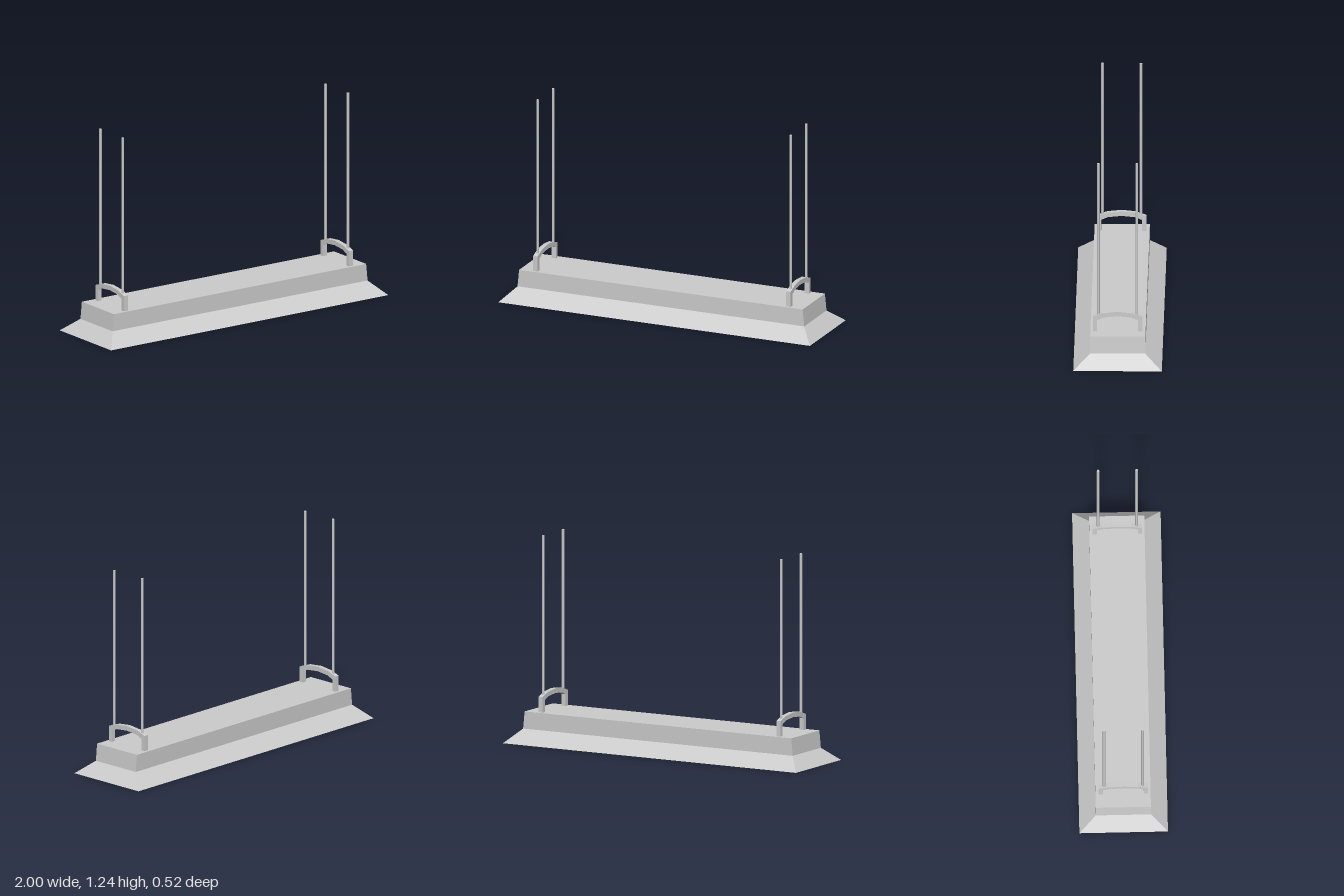
import * as THREE from 'three';

const mat = new THREE.MeshStandardMaterial({ color: 0xcccccc });
const flatMat = new THREE.MeshStandardMaterial({ color: 0xcccccc, flatShading: true });

function mesh(name, geometry, material = flatMat) {
  const m = new THREE.Mesh(geometry, material);
  m.name = name;
  return m;
}

// Skin a list of rectangular rings [halfX, halfZ, y]
function rectLoft(rings) {
  const corners = [[1, 1], [1, -1], [-1, -1], [-1, 1]];
  const pos = [];
  const pt = ([hx, hz, y], i) => {
    const [sx, sz] = corners[i % 4];
    return [sx * hx, y, sz * hz];
  };
  for (let r = 0; r < rings.length - 1; r++) {
    for (let i = 0; i < 4; i++) {
      const a = pt(rings[r], i), b = pt(rings[r], i + 1);
      const c = pt(rings[r + 1], i + 1), d = pt(rings[r + 1], i);
      if (rings[r][0] > 0) pos.push(...a, ...b, ...c);
      if (rings[r + 1][0] > 0) pos.push(...a, ...c, ...d);
    }
  }
  const g = new THREE.BufferGeometry();
  g.setAttribute('position', new THREE.Float32BufferAttribute(pos, 3));
  g.computeVertexNormals();
  return g;
}

// Extrude a (z, y) outline along x, centred on x = 0
function extrudeX(points, width) {
  const shape = new THREE.Shape(points.map(([z, y]) => new THREE.Vector2(z, y)));
  const g = new THREE.ExtrudeGeometry(shape, { depth: width, bevelEnabled: false });
  return g.translate(0, 0, -width / 2).rotateY(Math.PI / 2);
}

export function createModel() {
  const group = new THREE.Group();

  // Hollow housing with flared skirt, from inner ceiling over the rim to the top
  group.add(mesh('housing', rectLoft([
    [0, 0, 0.17], [0.9, 0.15, 0.17], [0.907, 0.15, 0.08], [0.982, 0.243, 0],
    [1, 0.26, 0], [0.92, 0.162, 0.08], [0.91, 0.162, 0.183], [0, 0, 0.183],
  ])));

  // Pair of lamp tubes
  for (const s of [-1, 1]) {
    const tube = mesh('lampTube', new THREE.CylinderGeometry(0.038, 0.038, 1.74, 24).rotateZ(Math.PI / 2), mat);
    tube.position.set(0, 0.1, s * 0.07);
    group.add(tube);
  }

  // Lamp holder with a bowed lower edge
  const holderOutline = [[0.15, 0.168], [-0.15, 0.168]];
  for (let i = 0; i <= 8; i++) {
    const t = -1 + i / 4;
    holderOutline.push([t * 0.15, 0.05 + 0.035 * t * t]);
  }
  const holderGeo = extrudeX(holderOutline, 0.045);

  // Arched bracket: outer edge, then inner edge
  const bracketGeo = extrudeX([
    [-0.145, 0.18], [-0.12, 0.18], [-0.12, 0.253], [-0.08, 0.27], [0, 0.278],
    [0.08, 0.27], [0.12, 0.253], [0.12, 0.18], [0.145, 0.18], [0.145, 0.276],
    [0.085, 0.297], [0, 0.306], [-0.085, 0.297], [-0.145, 0.276],
  ], 0.028);

  const rodGeo = new THREE.CylinderGeometry(0.008, 0.008, 0.96, 8);

  for (const s of [-1, 1]) {
    const holder = mesh('lampHolder', holderGeo);
    holder.position.x = s * 0.877;
    group.add(holder);

    const hanger = new THREE.Group();
    hanger.name = 'hanger';
    hanger.position.set(s * 0.812, 0, 0.002);
    hanger.add(mesh('bracket', bracketGeo));
    for (const z of [-0.113, 0.113]) {
      const rod = mesh('suspensionRod', rodGeo, mat);
      rod.position.set(0, 0.755, z);
      hanger.add(rod);
    }
    group.add(hanger);
  }
  return group;
}
